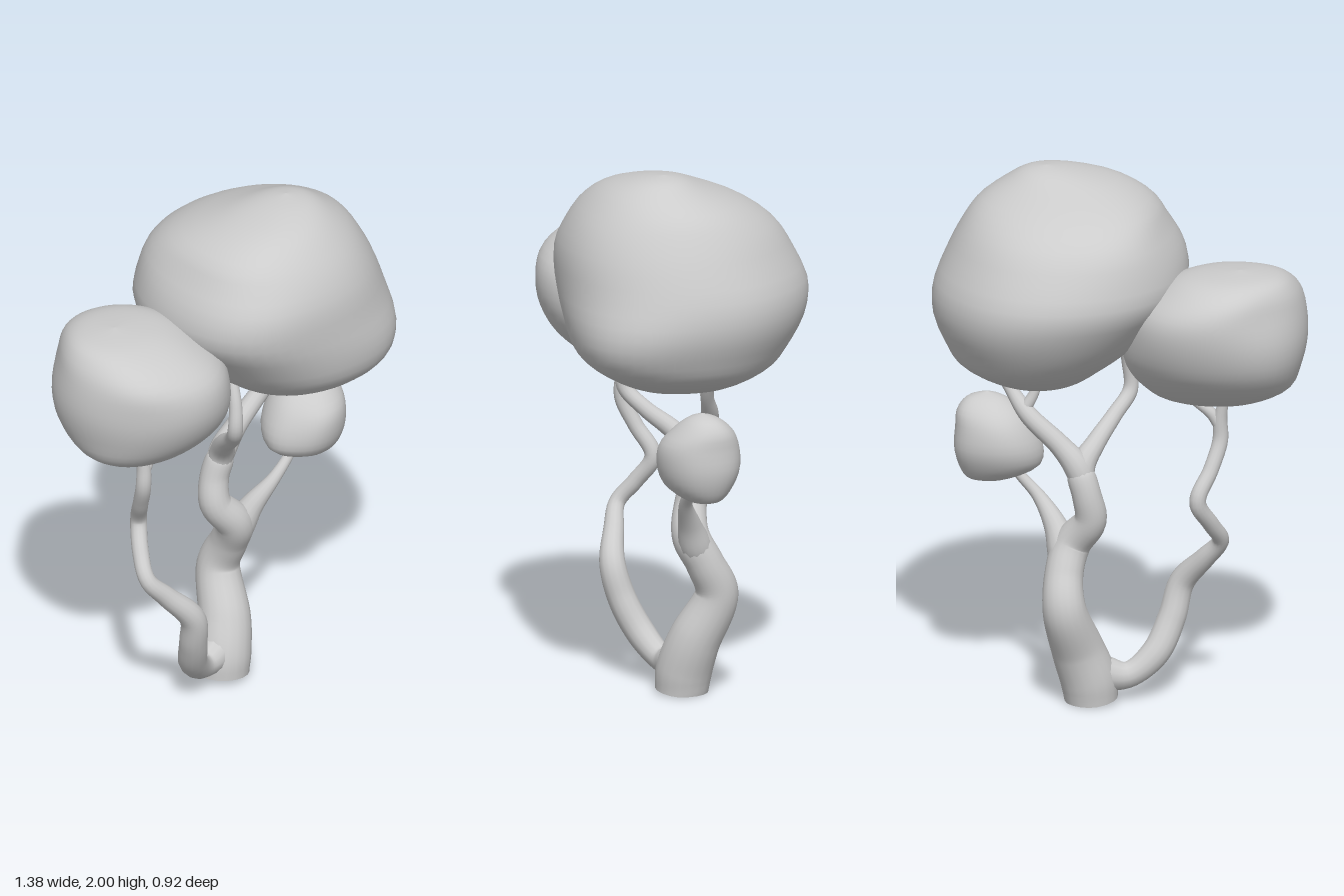
import * as THREE from 'three';
import { mergeVertices } from 'three/addons/utils/BufferGeometryUtils.js';

const material = new THREE.MeshStandardMaterial({ color: 0xcccccc });

// Smooth value through a list of numbers, t from 0 to 1
function through(list, t) {
  const f = t * (list.length - 1), i = Math.min(Math.floor(f), list.length - 2), k = f - i;
  const at = (n) => list[THREE.MathUtils.clamp(n, 0, list.length - 1)];
  const [a, b, c, d] = [at(i - 1), at(i), at(i + 1), at(i + 2)];
  return b + 0.5 * k * (c - a + k * (2 * a - 5 * b + 4 * c - d + k * (3 * (b - c) + d - a)));
}

// Smooth-shaded mesh from a geometry whose seams are welded
function smoothMesh(name, geo) {
  const smooth = mergeVertices(geo);
  smooth.computeVertexNormals();
  const mesh = new THREE.Mesh(smooth, material);
  mesh.name = name;
  return mesh;
}

// Branch along points [x, y, z, radius]
function limb(name, points, sides = 14) {
  const curve = new THREE.CatmullRomCurve3(points.map(([x, y, z]) => new THREE.Vector3(x, y, z)));
  const radii = points.map((p) => p[3]);
  const steps = points.length * 6;
  const geo = new THREE.TubeGeometry(curve, steps, 1, sides);
  const pos = geo.attributes.position, v = new THREE.Vector3();
  for (let i = 0; i < pos.count; i++) {
    const u = Math.floor(i / (sides + 1)) / steps;
    const centre = curve.getPointAt(u);
    const r = through(radii, curve.getUtoTmapping(u));
    v.fromBufferAttribute(pos, i).sub(centre).multiplyScalar(r).add(centre);
    pos.setXYZ(i, v.x, Math.max(v.y, 0), v.z);
  }
  geo.deleteAttribute('uv');
  geo.deleteAttribute('normal');
  return smoothMesh(name, geo);
}

// Leaf mass from level rows [y, xMin, xMax, zMin, zMax], bottom to top.
// bumps: [angle, amount, height, spread] swell or flatten one side near a height.
function crown(name, rows, bumps, levels = 44, sides = 56) {
  const columns = [0, 1, 2, 3, 4].map((c) => rows.map((r) => r[c]));
  const positions = [], index = [];
  for (let j = 0; j <= levels; j++) {
    const t = 0.5 - 0.5 * Math.cos((j / levels) * Math.PI);
    const [y, x0, x1, z0, z1] = columns.map((c) => through(c, t));
    for (let i = 0; i <= sides; i++) {
      const a = ((i % sides) / sides) * Math.PI * 2;
      let k = 1 + 0.012 * Math.sin(3 * a + 7 * y) * Math.sin(Math.PI * t);
      for (const [angle, amount, height, spread] of bumps) {
        k += amount * Math.max(0, Math.cos(a - angle)) ** 8 * Math.exp(-(((y - height) / spread) ** 2));
      }
      positions.push(
        (x0 + x1) / 2 + k * (x1 - x0) / 2 * Math.cos(a), y,
        (z0 + z1) / 2 + k * (z1 - z0) / 2 * Math.sin(a));
      if (j < levels && i < sides) {
        const p = j * (sides + 1) + i, q = p + sides + 1;
        index.push(p, q, p + 1, p + 1, q, q + 1);
      }
    }
  }
  const geo = new THREE.BufferGeometry();
  geo.setAttribute('position', new THREE.Float32BufferAttribute(positions, 3));
  geo.setIndex(index);
  return smoothMesh(name, geo);
}

export function createModel() {
  const tree = new THREE.Group();
  tree.name = 'tree';

  // Trunk and its closed foot
  tree.add(limb('trunk', [
    [0.1, 0.005, -0.05, 0.098], [0.108, 0.08, -0.055, 0.104], [0.145, 0.2, -0.08, 0.097],
    [0.19, 0.38, -0.15, 0.08], [0.195, 0.5, -0.1, 0.071], [0.17, 0.6, -0.055, 0.07],
    [0.1, 0.7, -0.085, 0.06], [0.112, 0.8, -0.1, 0.054], [0.135, 0.88, -0.09, 0.05],
    [0.14, 0.93, -0.08, 0.015]], 18));
  const foot = new THREE.Mesh(new THREE.CircleGeometry(0.098, 18), material);
  foot.name = 'trunkFoot';
  foot.rotation.x = Math.PI / 2;
  foot.position.set(0.1, 0.004, -0.05);
  tree.add(foot);

  // Branches under the large crown
  tree.add(limb('innerBranch', [
    [0.115, 0.8, -0.098, 0.04], [0.13, 0.9, -0.08, 0.047], [0.085, 0.98, -0.025, 0.037],
    [0.025, 1.06, 0.065, 0.03], [-0.028, 1.14, 0.125, 0.028], [-0.02, 1.24, 0.12, 0.024],
    [0, 1.36, 0.08, 0.02]]));
  tree.add(limb('outerBranch', [
    [0.115, 0.8, -0.1, 0.04], [0.145, 0.9, -0.09, 0.05], [0.21, 0.98, -0.08, 0.04],
    [0.33, 1.09, -0.06, 0.034], [0.4, 1.18, -0.02, 0.024], [0.47, 1.3, 0, 0.02]]));
  tree.add(limb('outerTwig', [
    [0.35, 1.1, -0.055, 0.024], [0.31, 1.17, -0.05, 0.019], [0.28, 1.28, -0.04, 0.016]]));

  // Branch to the small crown
  tree.add(limb('smallBranch', [
    [0.19, 0.48, -0.1, 0.045], [0.2, 0.57, -0.06, 0.06], [0.235, 0.66, -0.022, 0.043],
    [0.3, 0.755, 0.022, 0.025], [0.37, 0.83, 0.035, 0.019], [0.44, 0.92, 0.04, 0.016]]));

  // Crooked side stem and its twig
  tree.add(limb('sideStem', [
    [0.1, 0.12, -0.06, 0.075], [0.04, 0.1, -0.045, 0.064], [-0.035, 0.095, -0.03, 0.049],
    [-0.13, 0.17, 0.01, 0.054], [-0.185, 0.29, 0.06, 0.053], [-0.22, 0.42, 0.085, 0.048],
    [-0.31, 0.53, 0.04, 0.038], [-0.37, 0.61, 0, 0.031], [-0.34, 0.69, -0.06, 0.031],
    [-0.295, 0.79, -0.11, 0.031], [-0.34, 0.9, -0.06, 0.029], [-0.37, 1.0, -0.02, 0.029],
    [-0.37, 1.08, -0.02, 0.026], [-0.385, 1.17, -0.03, 0.017], [-0.39, 1.26, -0.03, 0.014]]));
  tree.add(limb('sideTwig', [
    [-0.37, 1.05, -0.02, 0.022], [-0.34, 1.1, -0.02, 0.022], [-0.26, 1.165, -0.03, 0.015],
    [-0.2, 1.24, -0.04, 0.013]]));

  // Crowns
  tree.add(crown('largeCrown', [
    [1.195, 0.29, 0.29, 0.02, 0.02], [1.21, 0.15, 0.45, -0.15, 0.2],
    [1.28, 0.04, 0.59, -0.29, 0.35], [1.36, -0.06, 0.645, -0.37, 0.43],
    [1.47, -0.15, 0.69, -0.435, 0.455], [1.58, -0.225, 0.69, -0.455, 0.455],
    [1.7, -0.215, 0.64, -0.405, 0.45], [1.8, -0.165, 0.585, -0.34, 0.415],
    [1.88, -0.115, 0.525, -0.23, 0.36], [1.945, 0, 0.43, -0.08, 0.29],
    [1.985, 0.16, 0.36, 0.02, 0.2], [2, 0.28, 0.28, 0.1, 0.1]],
  [[0.9, 0.12, 1.38, 0.18], [2.5, 0.1, 1.65, 0.3], [-0.7, -0.045, 1.5, 0.25],
    [-2.3, 0.07, 1.82, 0.13]]));
  tree.add(crown('sideCrown', [
    [1.145, -0.38, -0.38, -0.03, -0.03], [1.16, -0.51, -0.18, -0.12, 0.08],
    [1.22, -0.63, -0.08, -0.22, 0.18], [1.31, -0.67, -0.02, -0.31, 0.26],
    [1.42, -0.69, -0.02, -0.36, 0.3], [1.53, -0.68, -0.05, -0.37, 0.285],
    [1.61, -0.65, -0.15, -0.33, 0.19], [1.66, -0.59, -0.26, -0.24, 0.06],
    [1.678, -0.45, -0.45, -0.09, -0.09]],
  [[2.4, 0.08, 1.6, 0.1], [0.8, -0.08, 1.55, 0.2], [-2.3, 0.05, 1.3, 0.12],
    [-2.3, -0.06, 1.58, 0.1], [-0.8, -0.05, 1.28, 0.12]]));
  tree.add(crown('smallCrown', [
    [0.808, 0.5, 0.5, 0.04, 0.04], [0.822, 0.4, 0.56, -0.03, 0.1],
    [0.87, 0.295, 0.59, -0.08, 0.16], [0.94, 0.28, 0.605, -0.11, 0.188],
    [1.02, 0.31, 0.6, -0.105, 0.188], [1.08, 0.355, 0.595, -0.075, 0.145],
    [1.125, 0.42, 0.56, -0.02, 0.095], [1.145, 0.49, 0.49, 0.04, 0.04]],
  [[-0.6, 0.09, 0.98, 0.3], [2.54, -0.09, 0.98, 0.3]], 30, 36));

  return tree;
}
